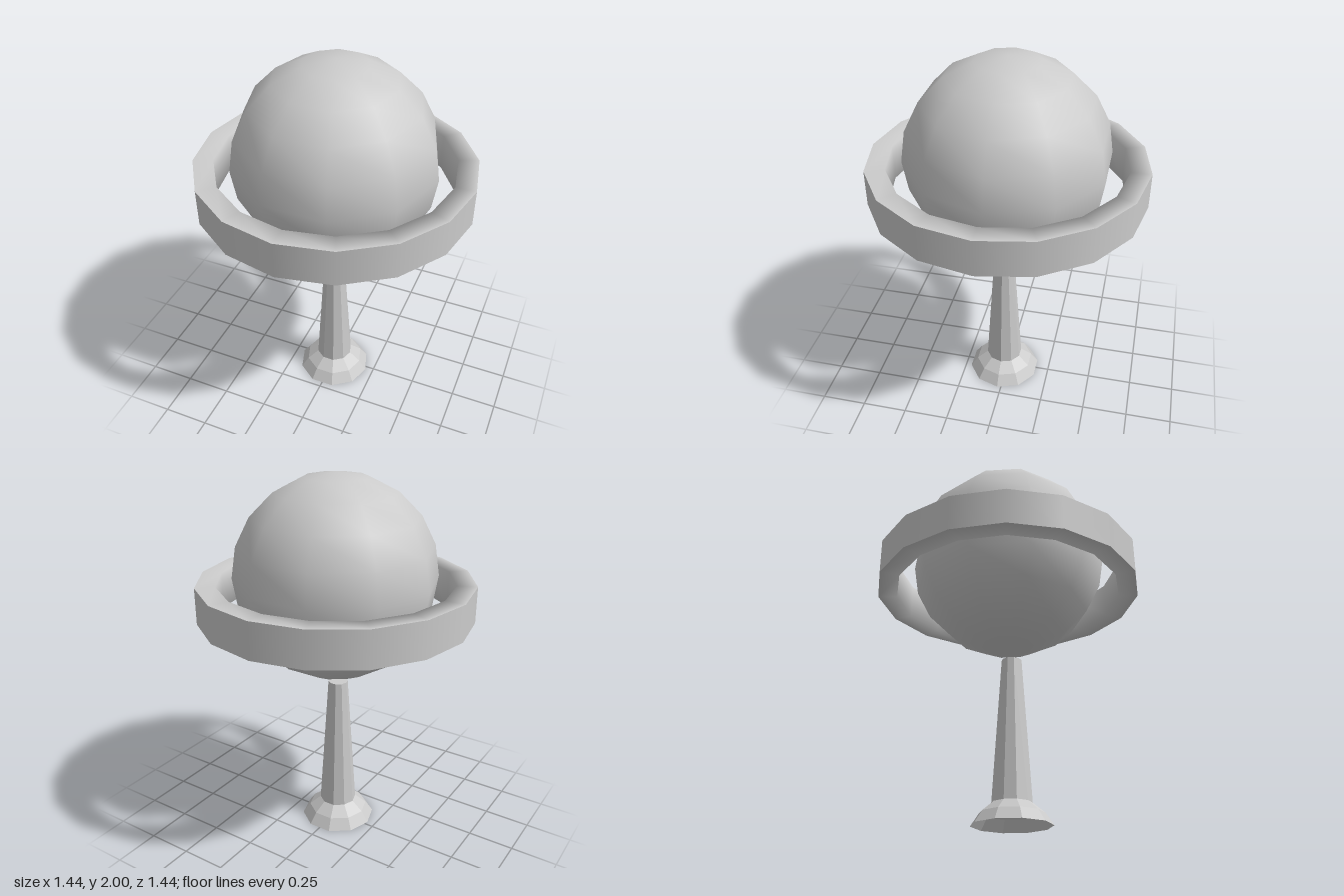
import * as THREE from 'three';

const V = (x, y) => new THREE.Vector2(x, y);

export function createModel() {
  const group = new THREE.Group();
  const smooth = new THREE.MeshStandardMaterial({ color: 0xcccccc });
  const faceted = new THREE.MeshStandardMaterial({
    color: 0xcccccc, flatShading: true, side: THREE.DoubleSide,
  });

  const add = (name, geometry, material, parent = group) => {
    const mesh = new THREE.Mesh(geometry, material);
    mesh.name = name;
    parent.add(mesh);
    return mesh;
  };

  // Globe: ten-sided smooth sphere
  add('globe', new THREE.SphereGeometry(0.535, 10, 10), smooth).position.y = 1.465;

  // Ring around the globe: crisp outer wall, softened rims and inner wall
  const ring = new THREE.Group();
  ring.name = 'ring';
  group.add(ring);
  const [outer, inner, low, high] = [0.722, 0.617, 1.26, 1.452];
  add('ringOuterWall', new THREE.LatheGeometry([V(outer, low), V(outer, high)], 16), smooth, ring);
  add('ringInnerChannel', new THREE.LatheGeometry(
    [V(outer, high), V(inner, high), V(inner, low), V(outer, low)], 16), smooth, ring);

  // Stand, set slightly forward, with corners on the x axis
  const stand = new THREE.Group();
  stand.name = 'stand';
  stand.position.z = 0.022;
  stand.rotation.y = Math.PI / 2;
  group.add(stand);

  // Tapered pole, closed at the top and open underneath
  add('pole', new THREE.LatheGeometry(
    [V(0.102, 0.11), V(0.053, 0.865), V(0, 0.865)], 10), faceted, stand);

  // Flared hollow foot
  add('foot', new THREE.LatheGeometry(
    [V(0.205, 0), V(0.164, 0.06), V(0.102, 0.11)], 10), faceted, stand);

  return group;
}
